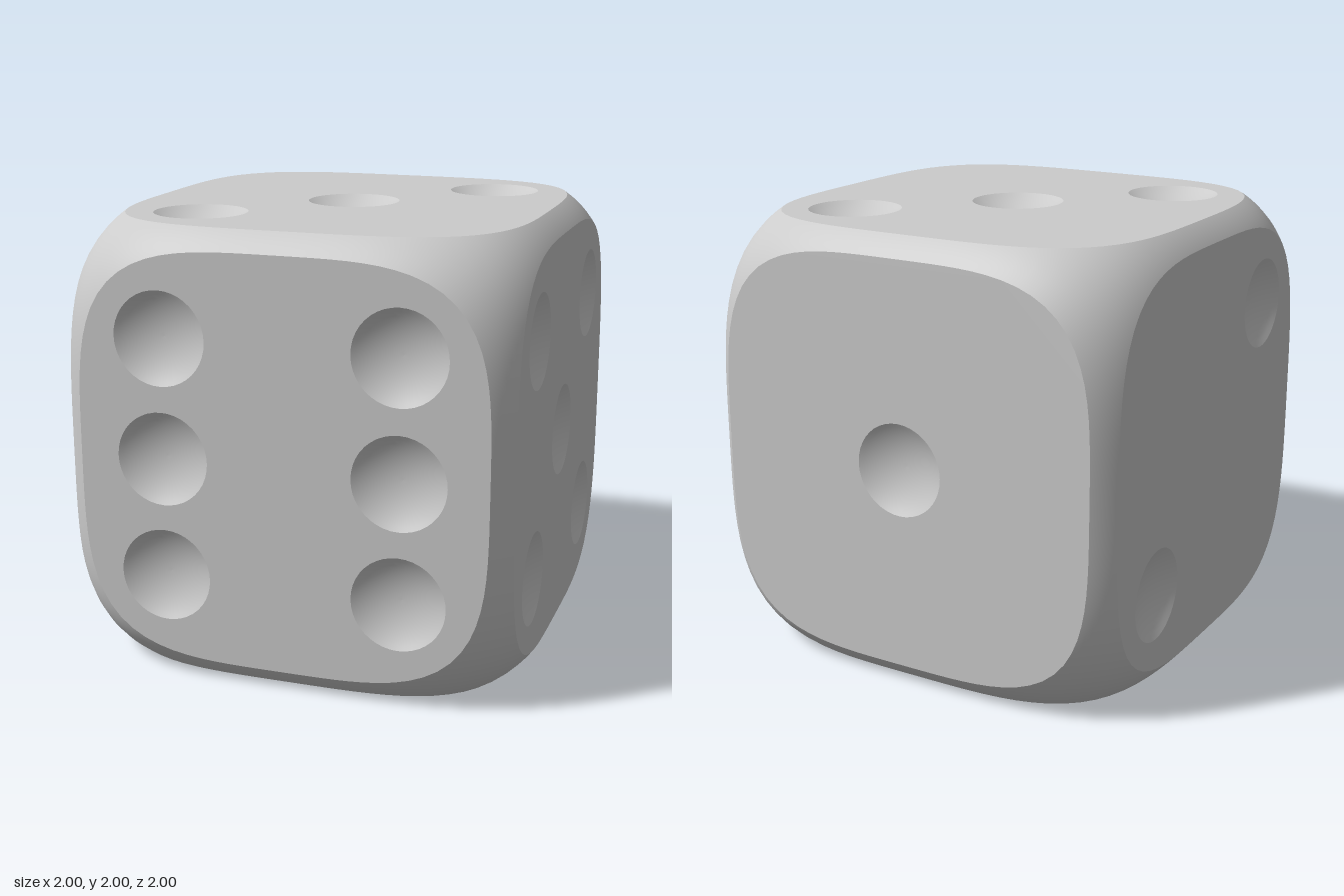
import * as THREE from 'three';

const N = 3.75;                        // exponent of the rounded-cube body
const A = 0.915;                       // half width of a flat face
const R = 1 + Math.pow(A, N);          // |x|^N + |y|^N + |z|^N = R, cut flat at 1
const PIP = 0.208, DEPTH = 0.06, S = 0.53;
const SEG = 96, RINGS = 10;

const material = new THREE.MeshStandardMaterial({ color: 0xcccccc });

// Point on the unit superellipse in the direction of step i
function outline(i) {
  const t = (i / SEG) * Math.PI * 2;
  const c = Math.cos(t), s = Math.sin(t);
  const k = Math.pow(Math.abs(c) ** N + Math.abs(s) ** N, -1 / N);
  return new THREE.Vector2(c * k, s * k);
}

// Flat face with a round hole for every pip
function faceGeometry(pips) {
  const points = [];
  for (let i = 0; i < SEG; i++) points.push(outline(i).multiplyScalar(A));
  const shape = new THREE.Shape(points);
  for (const [x, y] of pips) {
    shape.holes.push(new THREE.Path().absarc(x * S, y * S, PIP, 0, Math.PI * 2, true));
  }
  return new THREE.ShapeGeometry(shape, 20);
}

// Curved border from the flat face out to where the neighbouring faces' borders begin
function borderGeometry() {
  const pos = [], nor = [], idx = [];
  const grad = (v) => Math.sign(v) * Math.abs(v) ** (N - 1);
  for (let i = 0; i <= SEG; i++) {
    const p = outline(i);
    const big = Math.max(Math.abs(p.x), Math.abs(p.y));
    const end = Math.pow(R / (1 + big ** N), 1 / N);
    for (let j = 0; j <= RINGS; j++) {
      const m = A + (end - A) * (j / RINGS);
      const z = Math.pow(R - m ** N, 1 / N);
      const n = new THREE.Vector3(grad(p.x * m), grad(p.y * m), grad(z)).normalize();
      pos.push(p.x * m, p.y * m, z);
      nor.push(n.x, n.y, n.z);
      if (i < SEG && j < RINGS) {
        const a = i * (RINGS + 1) + j, b = a + RINGS + 1;
        idx.push(a, a + 1, b + 1, a, b + 1, b);
      }
    }
  }
  const g = new THREE.BufferGeometry();
  g.setAttribute('position', new THREE.Float32BufferAttribute(pos, 3));
  g.setAttribute('normal', new THREE.Float32BufferAttribute(nor, 3));
  g.setIndex(idx);
  return g;
}

// Shallow spherical bowl, rim at z = 0, hollow side towards +z
function pipGeometry() {
  const radius = (PIP * PIP + DEPTH * DEPTH) / (2 * DEPTH);
  const half = Math.asin(PIP / radius);
  const profile = [];
  for (let i = 0; i <= 10; i++) {
    const t = half * (1 - i / 10);
    profile.push(new THREE.Vector2(radius * Math.sin(t), radius - DEPTH - radius * Math.cos(t)));
  }
  return new THREE.LatheGeometry(profile, 40).rotateX(Math.PI / 2);
}

export function createModel() {
  const group = new THREE.Group();
  group.name = 'die';
  const border = borderGeometry(), bowl = pipGeometry();
  const diagonal = [[1, 1], [-1, -1]];
  const corners = [...diagonal, [1, -1], [-1, 1]];
  const Q = Math.PI / 2;

  // name, rotation about x, rotation about y, pip positions
  const sides = [
    ['front', 0, 0, [...corners, [1, 0], [-1, 0]]],
    ['back', 0, 2 * Q, [[0, 0]]],
    ['plusX', 0, Q, [...corners, [0, 0]]],
    ['minusX', 0, -Q, diagonal],
    ['top', -Q, 0, [...diagonal, [0, 0]]],
    ['bottom', Q, 0, corners],
  ];

  for (const [name, rx, ry, pips] of sides) {
    const side = new THREE.Group();
    side.name = name + 'Side';
    const add = (part, geometry, x = 0, y = 0, z = 0) => {
      const mesh = new THREE.Mesh(geometry, material);
      mesh.name = name + part;
      mesh.position.set(x, y, z);
      side.add(mesh);
    };
    add('Face', faceGeometry(pips), 0, 0, 1);
    add('RoundedBorder', border);
    for (const [x, y] of pips) add('Pip', bowl, x * S, y * S, 1);
    side.rotation.set(rx, ry, 0);
    side.position.y = 1;
    group.add(side);
  }
  return group;
}
